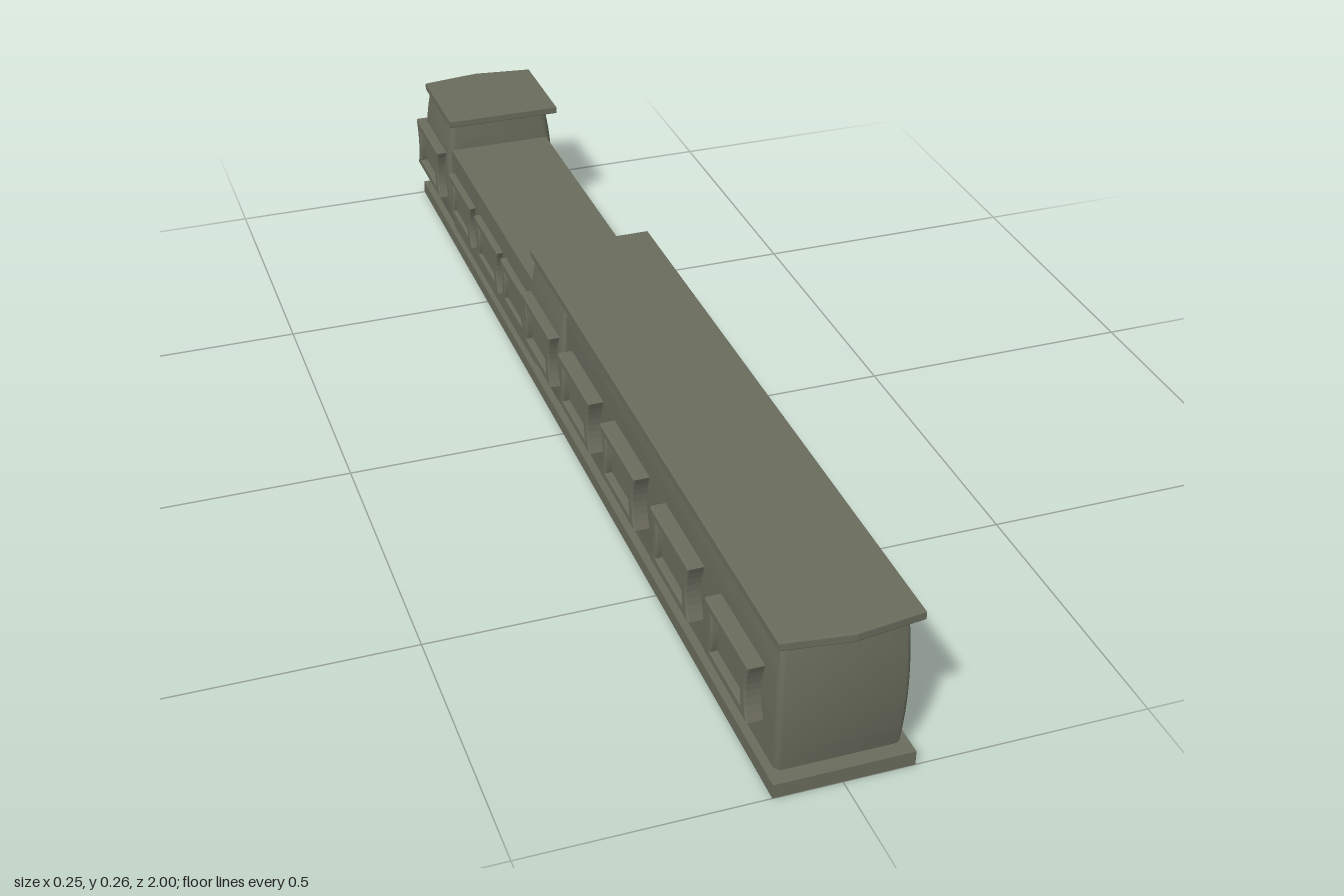
import * as THREE from 'three';
import { toCreasedNormals } from 'three/addons/utils/BufferGeometryUtils.js';

const stone = new THREE.MeshStandardMaterial({ color: 0x6a6c5d });
stone.name = 'olive grey stone';

function add(group, name, geometry) {
  const mesh = new THREE.Mesh(geometry, stone);
  mesh.name = name;
  group.add(mesh);
  return mesh;
}

// Upright block with rounded vertical edges whose sides swell at mid height
function swollenBlock(x0, x1, y0, y1, z0, z1, r, bulgeX, bulgeZ) {
  const w = (x1 - x0) / 2, d = (z1 - z0) / 2, h = y1 - y0;
  const s = new THREE.Shape();
  s.moveTo(-w + r, -d);
  s.lineTo(w - r, -d);
  s.quadraticCurveTo(w, -d, w, -d + r);
  s.lineTo(w, d - r);
  s.quadraticCurveTo(w, d, w - r, d);
  s.lineTo(-w + r, d);
  s.quadraticCurveTo(-w, d, -w, d - r);
  s.lineTo(-w, -d + r);
  s.quadraticCurveTo(-w, -d, -w + r, -d);
  const g = new THREE.ExtrudeGeometry(s, { depth: h, steps: 12, bevelEnabled: false, curveSegments: 5 });
  g.rotateX(-Math.PI / 2);
  const p = g.attributes.position;
  for (let i = 0; i < p.count; i++) {
    const v = (2 * p.getY(i)) / h - 1;
    const k = 1 - v * v;
    p.setX(i, p.getX(i) * (1 + (bulgeX / w) * k));
    p.setZ(i, p.getZ(i) * (1 + (bulgeZ / d) * k));
  }
  g.translate((x0 + x1) / 2, y0, (z0 + z1) / 2);
  return toCreasedNormals(g, 0.6);
}

// Thin coping slab from a plan outline of [x, z] points
function copingSlab(points, y0, y1) {
  const b = 0.002;
  const s = new THREE.Shape(points.map(([x, z]) => new THREE.Vector2(x, -z)));
  const g = new THREE.ExtrudeGeometry(s, {
    depth: y1 - y0 - 2 * b, bevelThickness: b, bevelSize: b, bevelOffset: -b, bevelSegments: 2,
  });
  g.rotateX(-Math.PI / 2);
  g.translate(0, y0 + b, 0);
  return g;
}

// Rectangle whose two ends curve inward at the waist
function waistedOutline(Type, w, h, pinch) {
  const s = new Type();
  s.moveTo(-w, -h);
  s.lineTo(w, -h);
  s.quadraticCurveTo(w - 2 * pinch, 0, w, h);
  s.lineTo(-w, h);
  s.quadraticCurveTo(-w + 2 * pinch, 0, -w, -h);
  return s;
}

// Raised frame with a recessed pane, facing -x
function wallPanel(length, height, xWall, xFace) {
  const panel = new THREE.Group();
  const w = length / 2, h = height / 2, depth = xWall - xFace;
  const b = 0.003;
  const outline = waistedOutline(THREE.Shape, w, h, 0.012);
  outline.holes.push(waistedOutline(THREE.Path, w - 0.026, h - 0.016, 0.004));
  const frame = new THREE.ExtrudeGeometry(outline, {
    depth: depth - b, bevelThickness: b, bevelSize: b, bevelOffset: -b, bevelSegments: 2, curveSegments: 8,
  });
  frame.rotateY(-Math.PI / 2);
  frame.translate(xWall, 0, 0);
  add(panel, 'panelFrame', frame);
  const paneDepth = depth * 0.55;
  const pane = new THREE.BoxGeometry(paneDepth, height - 0.02, length - 0.04);
  pane.translate(xWall - paneDepth / 2, 0, 0);
  add(panel, 'panelPane', pane);
  return panel;
}

export function createModel() {
  const model = new THREE.Group();
  model.name = 'wall';

  // Plinth
  const plinth = new THREE.BoxGeometry(0.225, 0.025, 2);
  plinth.translate(0.0025, 0.0125, 0);
  add(model, 'plinth', plinth);

  // Wall sections: high run, middle pier, low run, rear pier
  add(model, 'highWall', swollenBlock(-0.096, 0.104, 0.025, 0.252, -0.02, 0.974, 0.014, 0.003, 0.009));
  add(model, 'middlePier', swollenBlock(-0.097, 0.103, 0.025, 0.252, -0.208, -0.01, 0.014, 0.011, 0.003));
  add(model, 'lowWall', swollenBlock(-0.1, 0.1, 0.025, 0.2, -0.79, -0.2, 0.005, 0, 0));
  add(model, 'rearPier', swollenBlock(-0.097, 0.103, 0.025, 0.252, -0.97, -0.782, 0.016, 0.011, 0.004));

  // Copings with shallow pointed outer ends
  add(model, 'highCoping', copingSlab(
    [[-0.102, -0.213], [-0.102, 0.979], [0.01, 0.994], [0.123, 0.979], [0.123, -0.213]], 0.25, 0.265));
  add(model, 'rearCoping', copingSlab(
    [[-0.102, -0.778], [0.123, -0.778], [0.123, -0.975], [0.01, -0.99], [-0.102, -0.975]], 0.25, 0.265));

  // Large panels on the high wall and piers
  for (const z of [-0.89, -0.115, 0.11, 0.345, 0.595, 0.84]) {
    const panel = wallPanel(0.176, 0.1, -0.097, -0.125);
    panel.name = 'largePanel';
    panel.position.set(0, 0.135, z);
    model.add(panel);
  }

  // Smaller panels on the low wall
  for (const z of [-0.685, -0.492, -0.308]) {
    const panel = wallPanel(0.164, 0.088, -0.096, -0.112);
    panel.name = 'smallPanel';
    panel.position.set(0, 0.111, z);
    model.add(panel);
  }

  return model;
}
